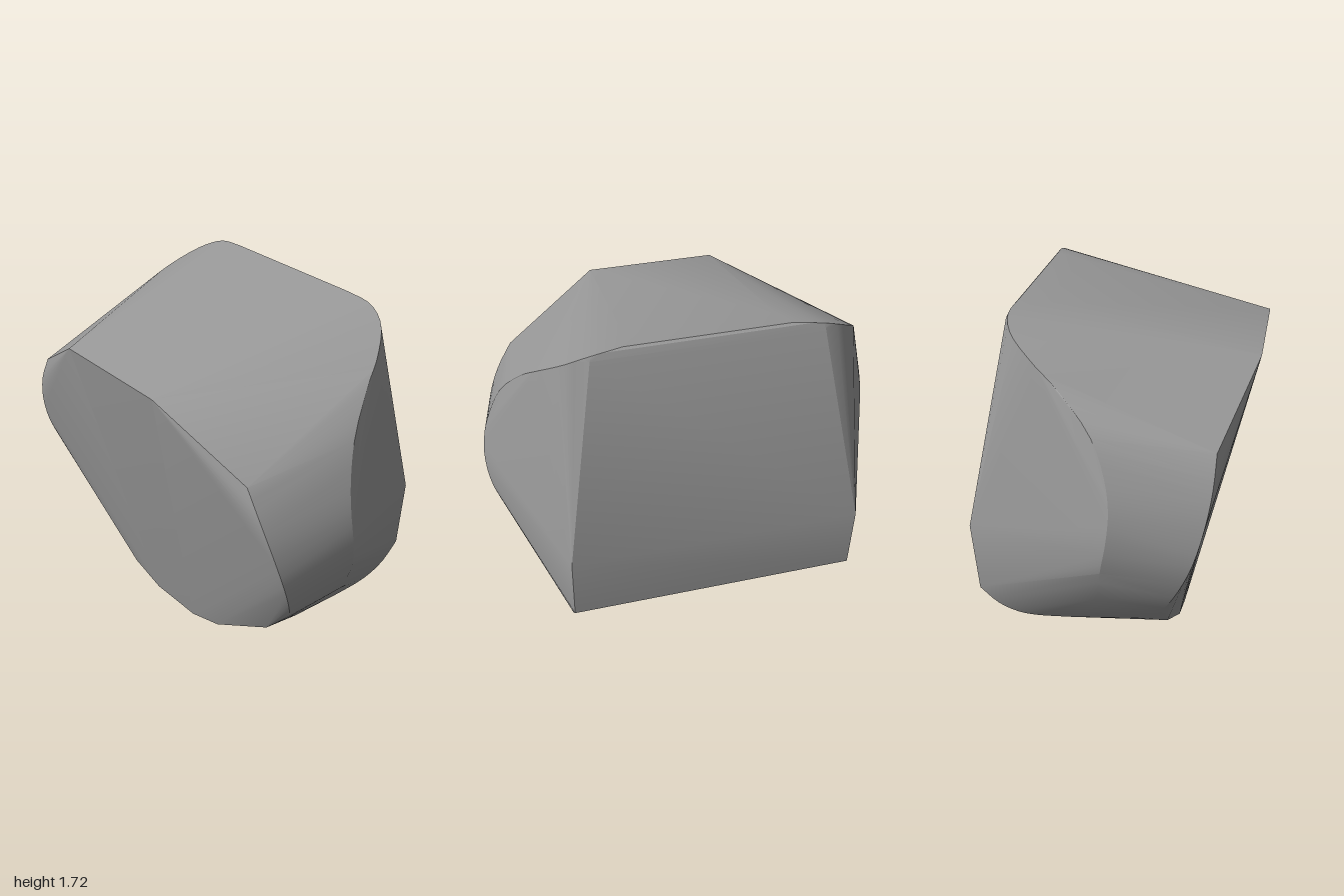
import * as THREE from 'three';
import { ConvexGeometry } from 'three/addons/geometries/ConvexGeometry.js';
import { toCreasedNormals } from 'three/addons/utils/BufferGeometryUtils.js';

const v = (p) => new THREE.Vector3(...p);
const smooth = (pts, n) => new THREE.CatmullRomCurve3(pts.map(v)).getPoints(n);

export function createModel() {
  const model = new THREE.Group();
  const stoneGrey = new THREE.MeshStandardMaterial({ color: 0x999999 });

  // Rounded rim where the front turns into the side
  const frontRim = smooth([
    [0.78, 1.22, 0.505], [0.86, 1.08, 0.5], [0.92, 0.92, 0.475], [0.945, 0.75, 0.43],
    [0.92, 0.6, 0.37], [0.86, 0.46, 0.3], [0.78, 0.36, 0.23],
  ], 18);

  // Widest ridge, from the back top corner down the side to the lower back
  const sideRidge = smooth([
    [0.38, 1.72, -0.45], [0.53, 1.7, -0.46], [0.64, 1.65, -0.42], [0.74, 1.56, -0.3],
    [0.8, 1.47, -0.18], [0.89, 1.3, -0.02], [0.95, 1.13, 0.05], [0.985, 1.0, 0.07],
    [1.0, 0.86, 0.06], [0.98, 0.7, 0.03], [0.9, 0.5, 0.0],
  ], 32);

  // Curved lower edge of the side
  const lowerEdge = smooth([
    [0.75, 0.31, 0.15], [0.71, 0.24, -0.3], [0.7, 0.24, -0.43],
    [0.7, 0.28, -0.53], [0.7, 0.36, -0.62],
  ], 12);

  // Sharp corners: front top, front bottom, underside and back
  const corners = [
    [0.32, 1.5, 0.65], [0.32, 1.48, 0.645],
    [0.15, 0.015, 0.31], [0.35, 0.075, 0.31], [0.7, 0.28, 0.295],
    [0.15, 0.003, 0.19], [0.2, 0.135, -0.39],
    [0.7, 0.7, -0.65], [0.53, 1.68, -0.47], [0.35, 1.7, -0.33],
  ].map(v);

  // Mirror the half and wrap it in one convex skin
  const half = [...frontRim, ...sideRidge, ...lowerEdge, ...corners];
  const points = half.flatMap((p) => [p, new THREE.Vector3(-p.x, p.y, p.z)]);
  const skin = toCreasedNormals(new ConvexGeometry(points), 0.35);

  const body = new THREE.Mesh(skin, stoneGrey);
  body.name = 'stoneBody';
  model.add(body);
  return model;
}
